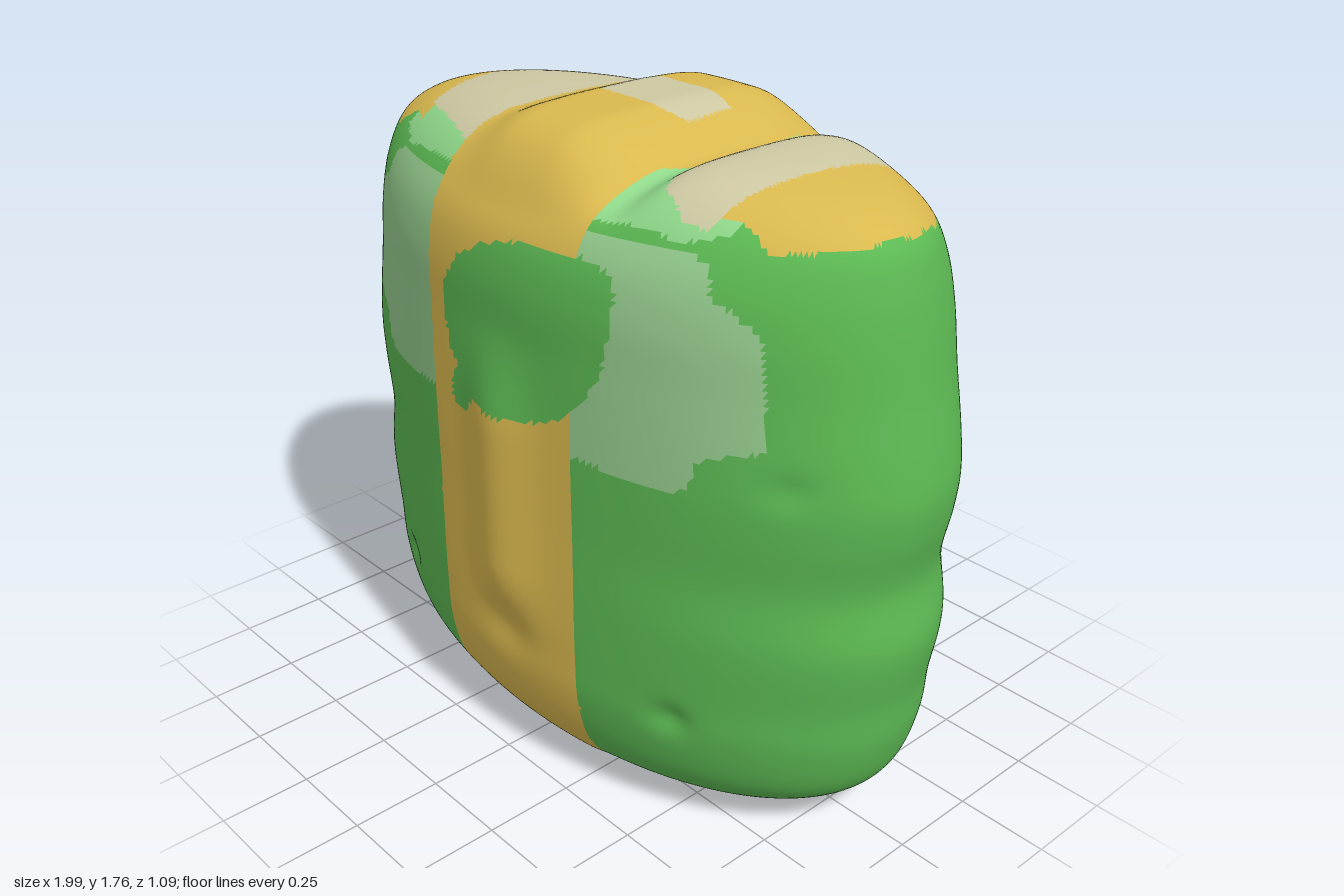
import * as THREE from 'three';

const COLUMNS = 300, ROWS = 190;
const STRAP_LEFT = 0.28, STRAP_RIGHT = -0.27;

const material = (name, color) => {
  const m = new THREE.MeshStandardMaterial({ color });
  m.name = name;
  return m;
};

// Half width, height and half depth of the oval rings, from base to crown
const profile = [
  [0, 0.012, 0], [0.3, 0.018, 0.15], [0.55, 0.032, 0.28], [0.7, 0.046, 0.36], [0.82, 0.09, 0.42],
  [0.9, 0.17, 0.47], [0.943, 0.3, 0.5], [0.955, 0.42, 0.505], [0.983, 0.6, 0.505], [0.96, 0.76, 0.505],
  [0.988, 0.91, 0.505], [0.997, 1.0, 0.505], [0.985, 1.1, 0.505], [0.955, 1.25, 0.505],
  [0.93, 1.4, 0.503], [0.905, 1.51, 0.48], [0.87, 1.595, 0.43], [0.78, 1.655, 0.37],
  [0.6, 1.698, 0.28], [0.3, 1.713, 0.15], [0, 1.715, 0],
];

// Outlines of the painted areas
const shoulderPatch = [ // |x|, y
  [0.2, 1.57], [0.55, 1.575], [0.6, 1.55], [0.62, 1.49], [0.68, 1.46], [0.73, 1.42], [0.75, 1.3],
  [0.76, 1.15], [0.69, 1.13], [0.62, 1.1], [0.6, 1.03], [0.55, 1.005], [0.2, 1.02],
];
const frontBlob = [ // x, y
  [-0.2, 1.25], [-0.19, 1.34], [-0.13, 1.42], [-0.03, 1.48], [0.1, 1.51], [0.3, 1.52], [0.37, 1.505],
  [0.4, 1.46], [0.4, 1.38], [0.375, 1.27], [0.33, 1.18], [0.27, 1.12], [0.17, 1.07], [0.05, 1.05],
  [-0.06, 1.06], [-0.1, 1.01], [-0.15, 1.0], [-0.18, 1.03], [-0.17, 1.08], [-0.14, 1.12], [-0.18, 1.17],
];
const rightPanel = [ // x, z
  [-0.2, -0.38], [-0.27, -0.375], [-0.4, -0.33], [-0.52, -0.28], [-0.58, -0.22], [-0.63, -0.14],
  [-0.65, -0.03], [-0.62, 0.1], [-0.58, 0.23], [-0.45, 0.28], [-0.27, 0.35], [-0.2, 0.35],
];
const leftPanel = [
  [0.33, -0.1], [0.35, -0.22], [0.42, -0.33], [0.5, -0.365], [0.57, -0.35], [0.61, -0.28],
  [0.605, 0], [0.58, 0.2], [0.56, 0.31], [0.5, 0.325], [0.4, 0.29], [0.34, 0.17],
];
const crownPanel = [
  [-0.18, -0.11], [-0.1, -0.15], [0.1, -0.15], [0.18, -0.14], [0.19, 0.02], [0.12, 0.05],
  [-0.08, 0.05], [-0.18, 0.02],
];
const corner = [ // |x|, z
  [0.55, -0.3], [0.66, -0.285], [0.74, -0.25], [0.82, -0.16], [0.862, -0.03], [0.84, 0.1],
  [0.77, 0.2], [0.7, 0.26], [0.62, 0.255], [0.55, 0.29],
];
const paleEdge = [ // |x|, |z|
  [0.2, 0], [0.62, 0], [0.61, 0.29], [0.52, 0.35], [0.4, 0.375], [0.2, 0.41],
];

function inside(outline, a, b) {
  let hit = false;
  outline.forEach(([x1, y1], i) => {
    const [x2, y2] = outline[(i + 1) % outline.length];
    if ((y1 > b) !== (y2 > b) && a < x1 + ((b - y1) / (y2 - y1)) * (x2 - x1)) hit = !hit;
  });
  return hit;
}

const bell = (d, width) => Math.exp(-(d * d) / (width * width));
const smooth = THREE.MathUtils.smoothstep;

// Part name at a point on the surface
function partAt(x, y, z) {
  const ax = Math.abs(x), az = Math.abs(z);
  const onTop = y > 1.58;
  if (z > 0 && y < 1.56 && inside(frontBlob, x, y)) return 'body';
  if (onTop) {
    if (inside(crownPanel, x, z)) return 'topPanels';
    const bulge = 0.05 * smooth(z, -0.27, -0.17) * (1 - smooth(z, 0.08, 0.2));
    if (x > STRAP_RIGHT && x < STRAP_LEFT + bulge) return 'strap';
    if (inside(rightPanel, x, z) || inside(leftPanel, x, z)) return 'topPanels';
    if (inside(corner, ax, z)) return 'topCorners';
    if (inside(paleEdge, ax, az)) return 'paleTopEdges';
  }
  if (x > STRAP_RIGHT && x < STRAP_LEFT) return 'strap';
  if (y < 0.055) return 'underside';
  return y > 0.9 && y < 1.6 && inside(shoulderPatch, ax, y) ? 'shoulderPatches' : 'body';
}

// Soft lumps laid over the plain oval form
function sculpt(x, y, z) {
  const strap = 1 - smooth(Math.abs(x), 0.22, 0.31);
  const top = smooth(y, 1.56, 1.7);
  let dz = 0;
  if (z > 0) {
    const face = smooth(z, 0.15, 0.4);
    const ridge = bell(x - 0.03, 0.11) * smooth(y, 0.36, 0.62) * (1 - smooth(y, 1.0, 1.3));
    dz = face * (0.04 * ridge - 0.015 * bell(x - 0.02, 0.09) * bell(y - 0.42, 0.08));
    for (const [px, py] of [[-0.57, 0.34], [0.55, 0.35], [0.82, 1.06]])
      dz -= face * 0.02 * bell(x - px, 0.05) * bell(y - py, 0.04);
  } else {
    dz = 0.05 * z + 0.013 * strap * Math.sign(z) * smooth(-z, 0.2, 0.45);
  }
  const crown = 0.05 * (1 - smooth(Math.abs(x), 0.08, 0.27));
  const dip = -0.045 * bell(x - 0.31, 0.065) + 0.012 * bell(x - 0.48, 0.12);
  const dy = top * (crown + dip) - 0.012 * strap * (1 - smooth(y, 0.02, 0.15));
  return [x, y + dy, z + dz];
}

export function createModel() {
  const green = material('green', 0x5cb953);
  const yellow = material('yellow', 0xd9b84e);
  const beige = material('beige', 0xcdc8a2);
  const parts = {
    body: green,
    strap: yellow,
    topCorners: yellow,
    topPanels: beige,
    shoulderPatches: material('lightGreen', 0x95cb8d),
    paleTopEdges: material('mint', 0x8fd88a),
    underside: material('paleGrey', 0xb0bcae),
  };

  // Rings of vertices, with those near a strap edge moved onto it
  const rings = new THREE.CatmullRomCurve3(profile.map((p) => new THREE.Vector3(...p)))
    .getSpacedPoints(ROWS);
  const positions = [];
  const step = (Math.PI * 2) / COLUMNS;
  for (const ring of rings) {
    const rx = Math.max(ring.x, 0), rz = Math.max(ring.z, 0);
    for (let c = 0; c < COLUMNS; c++) {
      let t = c * step;
      for (const edge of [STRAP_LEFT, STRAP_RIGHT]) {
        if (rx <= Math.abs(edge)) continue;
        const a = Math.acos(edge / rx);
        for (const e of [a, Math.PI * 2 - a]) if (Math.abs(t - e) < step * 0.5) t = e;
      }
      positions.push(...sculpt(rx * Math.cos(t), ring.y, rz * Math.sin(t)));
    }
  }

  // Triangles sorted into parts by where their centre lies
  const indices = Object.fromEntries(Object.keys(parts).map((k) => [k, []]));
  const all = [];
  const id = (r, c) => r * COLUMNS + (r === 0 || r === ROWS ? 0 : c % COLUMNS);
  const addTriangle = (...tri) => {
    if (new Set(tri).size < 3) return;
    const centre = [0, 1, 2].map((k) => tri.reduce((s, i) => s + positions[i * 3 + k] / 3, 0));
    indices[partAt(...centre)].push(...tri);
    for (const i of tri) all.push(i);
  };
  for (let r = 0; r < ROWS; r++) {
    for (let c = 0; c < COLUMNS; c++) {
      const a = id(r, c), b = id(r, c + 1), d = id(r + 1, c), e = id(r + 1, c + 1);
      addTriangle(a, d, b);
      addTriangle(b, d, e);
    }
  }

  // Every part shares the same vertices, so shading stays smooth across colours
  const whole = new THREE.BufferGeometry();
  whole.setAttribute('position', new THREE.Float32BufferAttribute(positions, 3));
  whole.setIndex(all);
  whole.computeVertexNormals();

  const group = new THREE.Group();
  group.name = 'softBlock';
  for (const [name, mat] of Object.entries(parts)) {
    const geometry = new THREE.BufferGeometry();
    geometry.setAttribute('position', whole.attributes.position);
    geometry.setAttribute('normal', whole.attributes.normal);
    geometry.setIndex(indices[name]);
    const mesh = new THREE.Mesh(geometry, mat);
    mesh.name = name;
    group.add(mesh);
  }
  return group;
}
